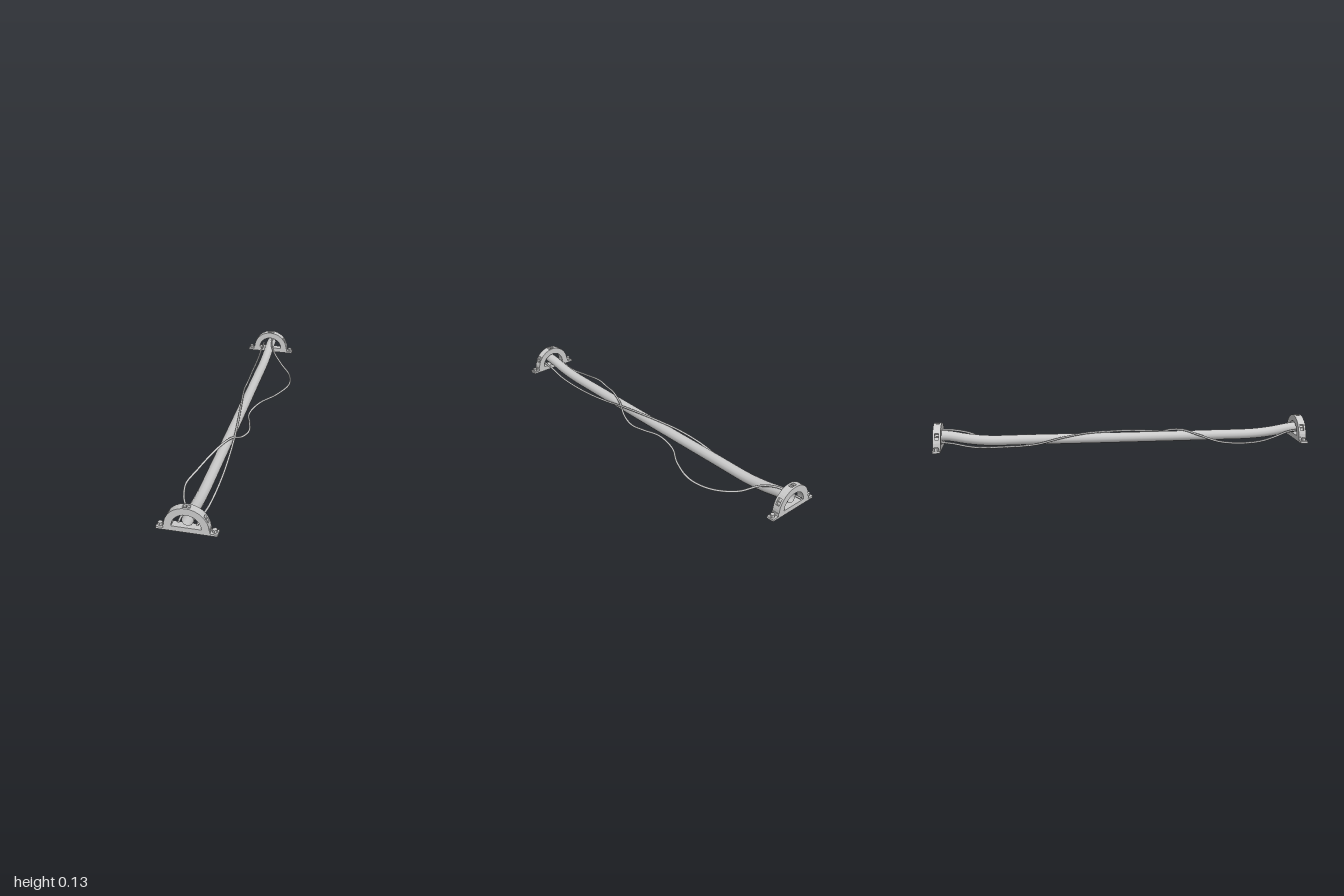
import * as THREE from 'three';

const CX = -0.035; // centre line of the brackets
const metal = new THREE.MeshStandardMaterial({ color: 0xcccccc });
const openMetal = new THREE.MeshStandardMaterial({ color: 0xcccccc, side: THREE.DoubleSide });

function add(parent, name, geometry, x = 0, y = 0, z = 0, material = metal) {
  const mesh = new THREE.Mesh(geometry, material);
  mesh.name = name;
  mesh.position.set(x, y, z);
  parent.add(mesh);
  return mesh;
}

// Half ring with optional pockets cut into its outer edge
function archGeometry(depth, pockets) {
  const outer = 0.105, inner = 0.07, steps = 18, shape = new THREE.Shape();
  const at = (r, a) => [r * Math.cos(a), r * Math.sin(a)];
  shape.moveTo(outer, 0);
  for (let i = 0; i < steps; i++) {
    const a = (i / steps) * Math.PI, b = ((i + 1) / steps) * Math.PI;
    if (pockets.includes(i)) {
      shape.lineTo(...at(outer - 0.012, a));
      shape.lineTo(...at(outer - 0.012, b));
    }
    shape.lineTo(...at(outer, b));
  }
  for (let i = steps; i >= 0; i--) shape.lineTo(...at(inner, (i / steps) * Math.PI));
  return new THREE.ExtrudeGeometry(shape, { depth, bevelEnabled: false });
}

// Arched clamp on a bolted foot
function createBracket() {
  const g = new THREE.Group();
  g.name = 'bracket';
  add(g, 'footPlate', new THREE.BoxGeometry(0.286, 0.011, 0.04), 0, 0.0105, 0);
  add(g, 'base', new THREE.BoxGeometry(0.216, 0.016, 0.04), 0, 0.0235, 0);

  // two outer slabs with a pocketed layer between them
  add(g, 'archFront', archGeometry(0.01, []), 0, 0.03, 0.01);
  add(g, 'archMiddle', archGeometry(0.02, [2, 3, 8, 9, 14, 15]), 0, 0.03, -0.01);
  add(g, 'archBack', archGeometry(0.01, []), 0, 0.03, -0.02);

  for (const side of [-1, 1]) {
    add(g, 'bolt', new THREE.CylinderGeometry(0.012, 0.012, 0.015, 6).toNonIndexed(), side * 0.126, 0.0235, 0)
      .geometry.computeVertexNormals();
  }
  return g;
}

function tube(points, segments, radius, sides) {
  const curve = new THREE.CatmullRomCurve3(points.map(p => new THREE.Vector3(...p)), false, 'centripetal');
  return new THREE.TubeGeometry(curve, segments, radius, sides, false);
}

export function createModel() {
  const model = new THREE.Group();
  model.name = 'pipeRun';

  for (const z of [0.976, -0.98]) {
    const bracket = createBracket();
    bracket.position.set(CX, 0, z);
    model.add(bracket);
  }

  // Main pipe, open at both ends and sagging to the ground
  add(model, 'mainPipe', tube([
    [-0.031, 0.066, 0.985], [-0.031, 0.061, 0.93], [-0.031, 0.044, 0.83], [-0.031, 0.034, 0.72],
    [-0.031, 0.032, 0.5], [-0.031, 0.031, 0], [-0.031, 0.032, -0.5], [-0.031, 0.033, -0.72],
    [-0.031, 0.045, -0.83], [-0.031, 0.062, -0.92], [-0.031, 0.067, -0.985],
  ], 80, 0.028, 12), 0, 0, 0, openMetal);

  // Cable that crosses over the pipe in one slow sweep
  add(model, 'straightCable', tube([
    [0.012, 0.045, 0.98], [0.013, 0.035, 0.9], [0.015, 0.012, 0.78], [0.016, 0.011, 0.55],
    [0.01, 0.03, 0.35], [0.003, 0.05, 0.22], [-0.015, 0.063, 0.05], [-0.03, 0.066, -0.06],
    [-0.05, 0.063, -0.2], [-0.068, 0.045, -0.33], [-0.08, 0.015, -0.47], [-0.087, 0.008, -0.65],
    [-0.087, 0.012, -0.8], [-0.085, 0.035, -0.91], [-0.085, 0.045, -1],
  ], 120, 0.0055, 8), 0, 0, 0, openMetal);

  // Loose cable that snakes from side to side
  add(model, 'looseCable', tube([
    [-0.07, 0.058, 0.995], [-0.073, 0.05, 0.92], [-0.088, 0.022, 0.83], [-0.122, 0.009, 0.74],
    [-0.143, 0.008, 0.63], [-0.12, 0.014, 0.52], [-0.075, 0.045, 0.41], [-0.035, 0.066, 0.33],
    [-0.005, 0.058, 0.25], [0.03, 0.022, 0.17], [0.049, 0.009, 0.08], [0.035, 0.008, 0],
    [0.01, 0.009, -0.1], [0.04, 0.009, -0.24], [0.115, 0.009, -0.36], [0.167, 0.009, -0.51],
    [0.145, 0.01, -0.64], [0.075, 0.025, -0.75], [0.01, 0.07, -0.83], [-0.018, 0.092, -0.91],
    [-0.022, 0.095, -0.99],
  ], 180, 0.0055, 8), 0, 0, 0, openMetal);

  return model;
}
